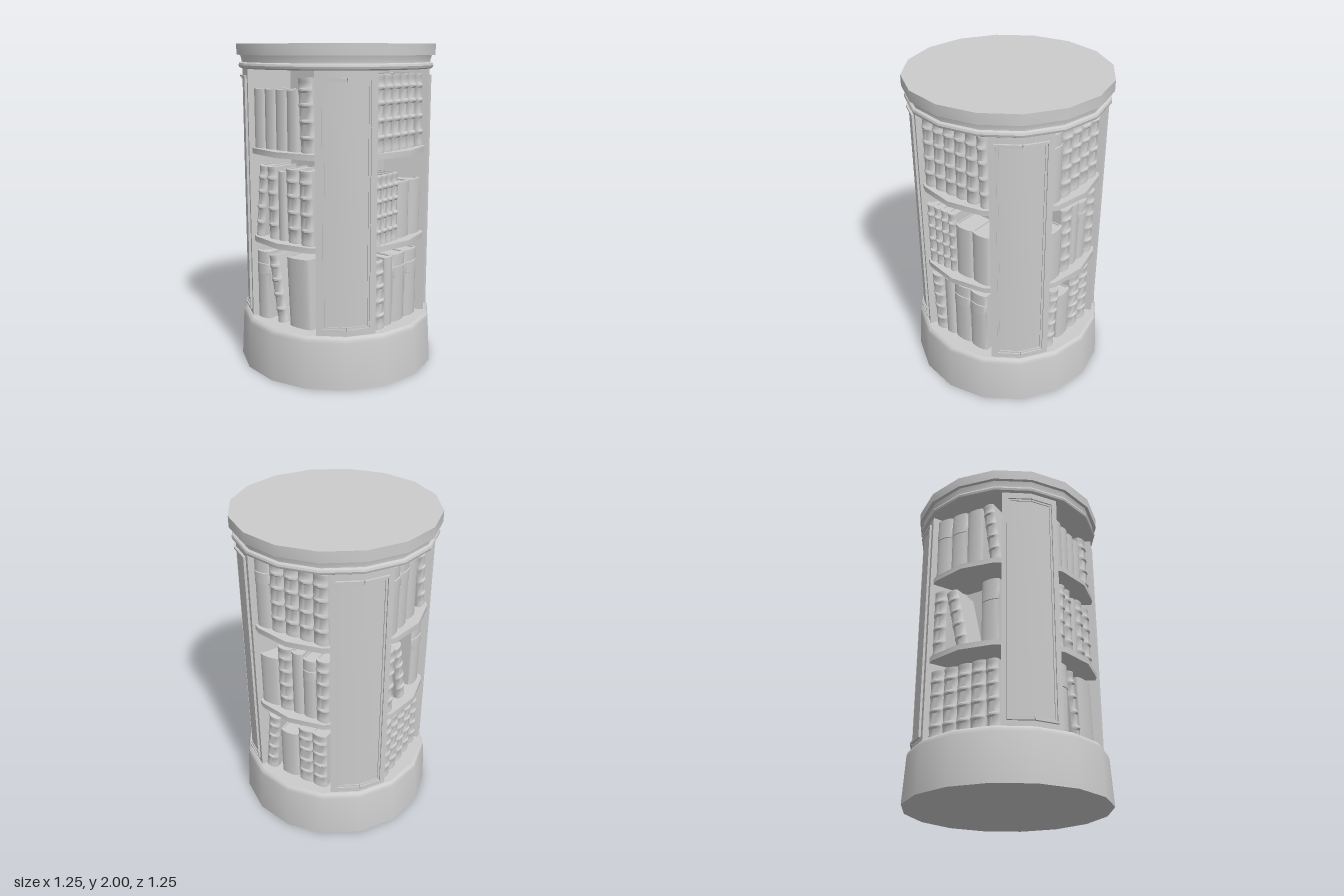
import * as THREE from 'three';
import { toCreasedNormals } from 'three/addons/utils/BufferGeometryUtils.js';

const material = new THREE.MeshStandardMaterial({ color: 0xcccccc });
const PANEL_R = 0.58, EDGE = Math.PI / 10, SIDES = 16;

function add(parent, name, geometry, x = 0, y = 0, z = 0) {
  const mesh = new THREE.Mesh(geometry, material);
  mesh.name = name;
  mesh.position.set(x, y, z);
  parent.add(mesh);
  return mesh;
}

// Sixteen-sided turned part from a profile running bottom to top
function turned(points) {
  const profile = points.map(([r, y]) => new THREE.Vector2(r, y));
  return toCreasedNormals(new THREE.LatheGeometry(profile, SIDES), 0.6);
}

// Four panels joined to a central core, leaving four tapering bays
function coreGeometry() {
  const shape = new THREE.Shape();
  const edgeR = 0.573, innerR = 0.305;
  for (let i = 0; i < 4; i++) {
    const a = i * Math.PI / 2;
    const path = [[innerR, -EDGE], [edgeR, -EDGE], [PANEL_R, 0], [edgeR, EDGE], [innerR, EDGE]];
    path.forEach(([r, da], k) => {
      const x = r * Math.cos(a + da), y = r * Math.sin(a + da);
      if (i + k === 0) shape.moveTo(x, y); else shape.lineTo(x, y);
    });
  }
  const g = new THREE.ExtrudeGeometry(shape, { depth: 1.55, bevelEnabled: false });
  g.rotateX(-Math.PI / 2);
  return toCreasedNormals(g, 0.6);
}

// Rectangular moulding on a panel, folded along the panel's centre line
function panelMoulding() {
  const group = new THREE.Group();
  group.name = 'panelMoulding';
  for (const side of [1, -1]) {
    const half = new THREE.Group();
    half.name = 'mouldingHalf';
    half.position.z = PANEL_R;
    half.rotation.y = side * Math.PI / SIDES;
    const bars = [[0.15, 0.355, 1.815, 0.011, 0.028], [0.139, 0.366, 1.804, 0.012, 0.012]];
    for (const [w, low, high, t, d] of bars) {
      add(half, 'uprightBar', new THREE.BoxGeometry(t, high - low, d), side * (w - t / 2), (low + high) / 2);
      for (const y of [low + t / 2, high - t / 2])
        add(half, 'crossBar', new THREE.BoxGeometry(w, t, d), side * w / 2, y);
    }
    group.add(half);
  }
  return group;
}

// Rounded spine: rows of [height fraction, extra bulge], closed at both ends
const spineRows = {
  plain: [[0, 0], [1, 0]],
  label: [[0, 0], [0.66, 0], [0.665, 0.005], [0.82, 0.005], [0.825, 0], [1, 0]],
  ribbed: [[0, 0.004], [0.03, 0.004], [0.06, 0]],
};
for (const f of [0.2, 0.42, 0.64, 0.84])
  spineRows.ribbed.push([f - 0.035, 0.001], [f - 0.012, 0.01], [f + 0.012, 0.01], [f + 0.035, 0.001]);
spineRows.ribbed.push([0.94, 0], [0.97, 0.004], [1, 0.004]);

function spineGeometry(kind, w, h) {
  const rows = spineRows[kind], arc = 8;
  const g = new THREE.PlaneGeometry(1, 1, arc, rows.length + 1);
  const p = g.attributes.position;
  for (let j = 0; j <= rows.length + 1; j++) {
    const k = rows.length - j; // plane rows run from the top down
    const capped = k < 0 || k >= rows.length;
    const [f, bulge] = rows[THREE.MathUtils.clamp(k, 0, rows.length - 1)];
    for (let i = 0; i <= arc; i++) {
      const a = Math.PI * (1 - i / arc), s = capped ? 0 : 1;
      p.setXYZ(j * (arc + 1) + i,
        s * Math.cos(a) * (w / 2 + bulge * 0.2), f * h, s * Math.sin(a) * (0.02 + bulge));
    }
  }
  return toCreasedNormals(g, 0.7);
}

// Book with its lower left corner at the origin and its spine towards +z
function makeBook(kind, w, h) {
  const book = new THREE.Group();
  book.name = kind + 'Book';
  const d = 0.17, t = 0.007;
  for (const x of [t / 2, w - t / 2])
    add(book, 'cover', new THREE.BoxGeometry(t, h, d), x, h / 2, -d / 2);
  add(book, 'spineBoard', new THREE.BoxGeometry(w - 2 * t, h, t), w / 2, h / 2, -t / 2);
  add(book, 'pages', new THREE.BoxGeometry(w - 2 * t, h - 0.016, d - t - 0.006), w / 2, h / 2, -d / 2);
  add(book, 'spine', spineGeometry(kind, w, h), w / 2, 0, 0);
  return book;
}

// Runs of books, left to right: [kind, count, width, height, lean to the left, gap before]
const R = 'ribbed', P = 'plain', L = 'label';
const frontLeftBay = [
  [[R, 5, 0.079, 0.44], [R, 1, 0.06, 0.435, 0.05]],
  [[R, 4, 0.055, 0.41], [P, 2, 0.125, 0.345]],
  [[R, 1, 0.085, 0.42, 0.05], [P, 1, 0.075, 0.43], [L, 2, 0.128, 0.43, 0, 0.004]],
];
const backLeftBay = [
  [[L, 1, 0.1, 0.43], [R, 4, 0.093, 0.44]],
  [[P, 1, 0.13, 0.345], [R, 1, 0.095, 0.44], [P, 1, 0.075, 0.43], [L, 1, 0.09, 0.41], [R, 1, 0.085, 0.435]],
  [[R, 1, 0.08, 0.42, -0.1], [P, 1, 0.125, 0.34], [R, 2, 0.1, 0.41, 0, 0.008]],
];
const backRightBay = [
  [[L, 2, 0.113, 0.43], [P, 1, 0.115, 0.42, 0, 0.005], [R, 1, 0.075, 0.42, 0.14]],
  [[R, 1, 0.09, 0.44], [R, 1, 0.08, 0.42, 0.22], [L, 1, 0.12, 0.42, 0, 0.085]],
  [[R, 4, 0.095, 0.43], [R, 1, 0.08, 0.42, 0.04]],
];
const frontRightBay = [
  [[P, 4, 0.088, 0.35], [R, 1, 0.1, 0.42, 0.05]],
  [[R, 1, 0.06, 0.44, -0.09], [R, 1, 0.075, 0.44, 0.03], [P, 1, 0.065, 0.42],
    [R, 1, 0.09, 0.44, 0.03], [R, 1, 0.09, 0.44, 0.03]],
  [[L, 1, 0.1, 0.43], [R, 1, 0.075, 0.42, 0.17], [P, 1, 0.18, 0.43, 0.05]],
];

function makeBay(rows) {
  const bay = new THREE.Group();
  bay.name = 'bookBay';
  const shelfTops = [1.39, 0.845, 0.32];
  rows.forEach((runs, i) => {
    let x = -0.24;
    for (const [kind, count, w, h, lean = 0, gap = 0] of runs) {
      x += gap;
      for (let n = 0; n < count; n++) {
        const book = makeBook(kind, w, h), shift = h * Math.sin(Math.abs(lean));
        book.rotation.z = lean;
        book.position.set(x + (lean > 0 ? shift : 0), shelfTops[i] + Math.max(0, -w * Math.sin(lean)), 0.475);
        bay.add(book);
        x += w * Math.cos(lean) + shift;
      }
    }
  });
  return bay;
}

export function createModel() {
  const model = new THREE.Group();
  model.name = 'roundBookcase';

  add(model, 'base', turned([[0, 0], [0.625, 0], [0.609, 0.285], [0.603, 0.307], [0.588, 0.32], [0, 0.32]]));
  add(model, 'panelsAndCore', coreGeometry(), 0, 0.31, 0);
  for (const y of [0.83, 1.373])
    add(model, 'shelf', toCreasedNormals(new THREE.CylinderGeometry(0.56, 0.56, 0.034, SIDES), 0.6), 0, y, 0);

  // Cornice and top slab
  add(model, 'cornice', turned([[0, 1.855], [0.585, 1.855], [0.598, 1.862], [0.602, 1.875], [0.598, 1.887],
    [0.583, 1.893], [0.583, 1.905], [0.592, 1.936], [0, 1.936]]));
  add(model, 'topSlab', turned([[0, 1.935], [0.613, 1.935], [0.613, 2], [0, 2]]));

  // Panel mouldings on the four axes, books in the four diagonal bays
  [frontLeftBay, backLeftBay, backRightBay, frontRightBay].forEach((rows, i) => {
    const moulding = panelMoulding(), bay = makeBay(rows);
    moulding.rotation.y = i * Math.PI / 2;
    bay.rotation.y = (i + 0.5) * Math.PI / 2;
    model.add(moulding, bay);
  });
  return model;
}
